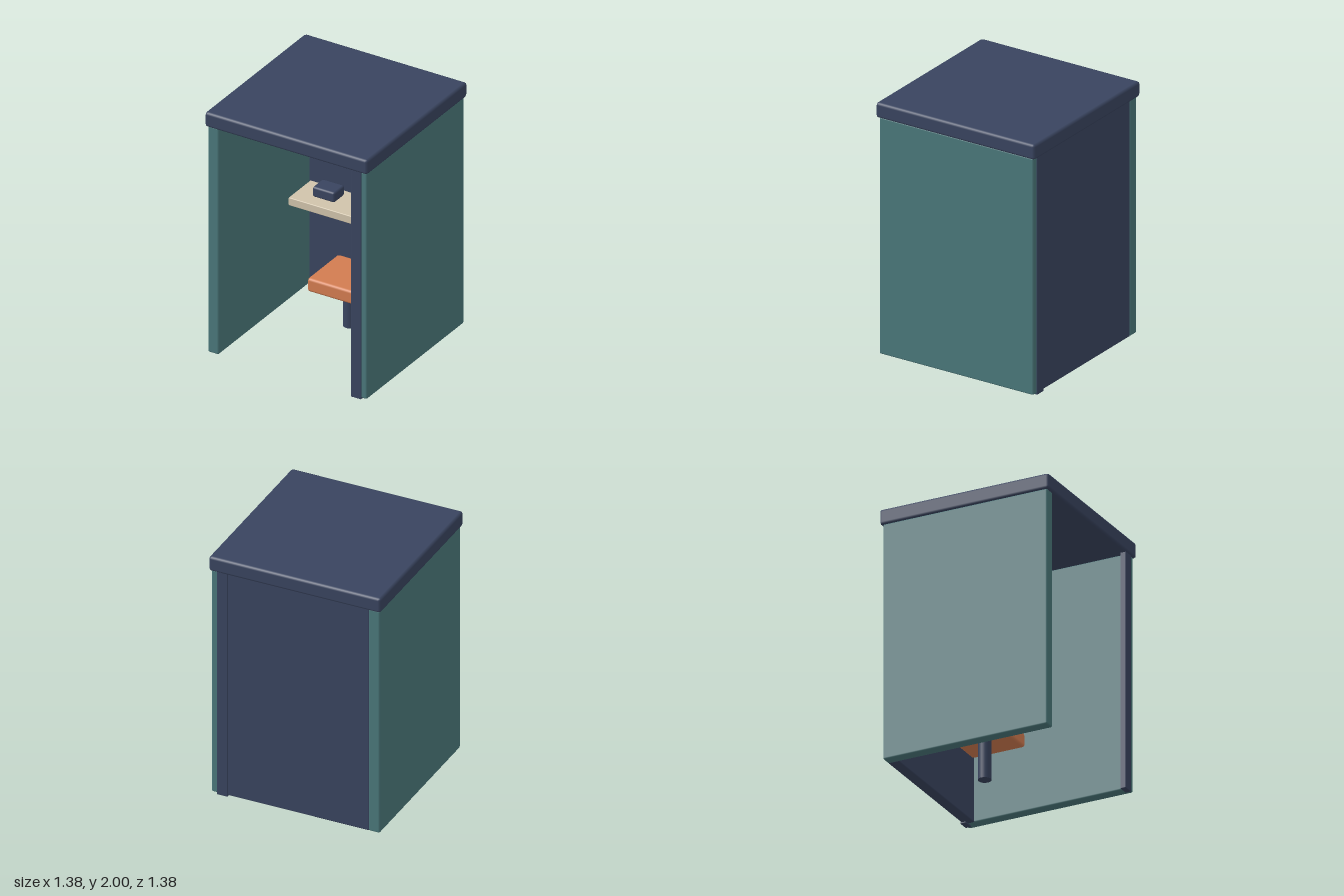
import * as THREE from 'three';
import { RoundedBoxGeometry } from 'three/addons/geometries/RoundedBoxGeometry.js';

const material = (name, color) => {
  const m = new THREE.MeshStandardMaterial({ color });
  m.name = name;
  return m;
};

export function createModel() {
  const navy = material('navy', 0x39445f);
  const teal = material('teal', 0x4a777a);
  const cream = material('cream', 0xd0c3aa);
  const orange = material('orange', 0xd27c50);

  const booth = new THREE.Group();
  booth.name = 'booth';

  // Bevelled box given by its [min, max] range on each axis
  const block = (name, mat, [x0, x1], [y0, y1], [z0, z1], bevel) => {
    const geometry = new RoundedBoxGeometry(x1 - x0, y1 - y0, z1 - z0, 1, bevel);
    const mesh = new THREE.Mesh(geometry, mat);
    mesh.name = name;
    mesh.position.set((x0 + x1) / 2, (y0 + y1) / 2, (z0 + z1) / 2);
    booth.add(mesh);
    return mesh;
  };

  // Shell: two side walls, back panel and overhanging roof
  block('rightWall', teal, [-0.675, -0.585], [0.01, 1.885], [-0.67, 0.67], 0.012);
  block('leftWall', teal, [0.585, 0.675], [0.01, 1.885], [-0.67, 0.67], 0.012);
  block('backPanel', navy, [-0.59, 0.59], [0.01, 1.885], [-0.668, -0.58], 0.008);
  block('roof', navy, [-0.69, 0.69], [1.88, 2], [-0.69, 0.69], 0.02);

  // Slim posts at the front and back ends of the left wall
  block('frontPost', navy, [0.545, 0.63], [0, 1.885], [0.63, 0.675], 0.004);
  block('backPost', navy, [0.545, 0.63], [0, 1.885], [-0.675, -0.63], 0.004);

  // Desk with a small device on it, and the ceiling light
  block('desk', cream, [-0.578, 0.578], [0.8, 0.865], [-0.585, -0.28], 0.006);
  block('deskDevice', navy, [-0.437, -0.25], [0.865, 0.948], [-0.525, -0.38], 0.015);
  block('ceilingLight', cream, [-0.3, 0.3], [1.837, 1.883], [-0.15, 0.15], 0.006);

  // Stool
  block('stoolSeat', orange, [-0.235, 0.235], [0.33, 0.44], [-0.41, 0.02], 0.02);
  const stem = new THREE.Mesh(new THREE.CylinderGeometry(0.05, 0.05, 0.32, 24), navy);
  stem.name = 'stoolStem';
  stem.position.set(0, 0.18, -0.19);
  booth.add(stem);

  return booth;
}
